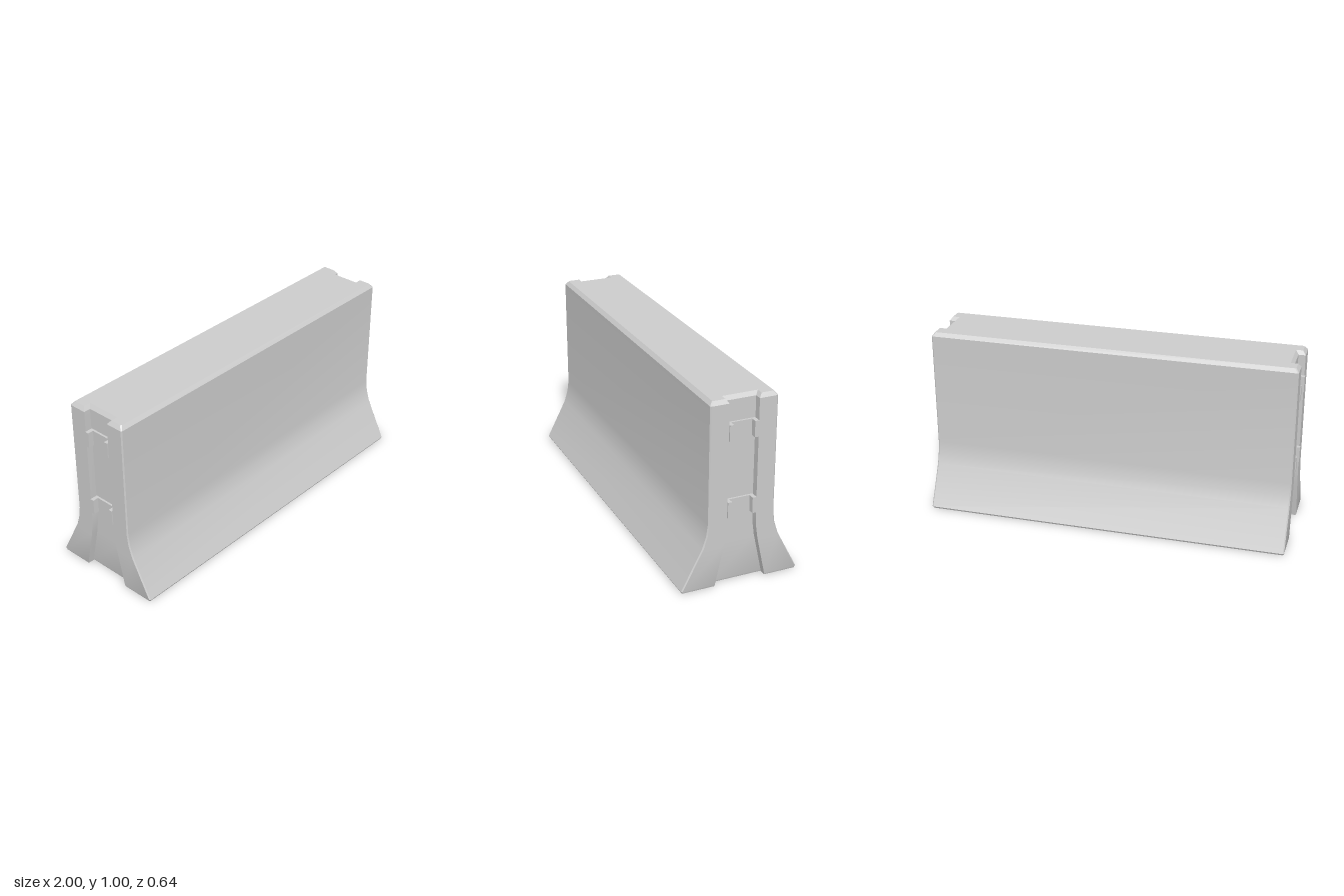
import * as THREE from 'three';
import { toCreasedNormals } from 'three/addons/utils/BufferGeometryUtils.js';

const END = 0.995;    // end faces
const NOTCH = 0.957;  // back wall of the end notches
const BEVEL = 0.006;  // vertical corner bevel

// [height, half thickness, half notch width, inset of the end faces]
const levels = [
  [0, 0.315, 0.14, 0.004],
  [0.01, 0.32, 0.138, 0],
  [0.225, 0.209, 0.092, 0],
  [0.29, 0.188, 0.083, 0],
  [0.355, 0.179, 0.079, 0],
  [0.98, 0.179, 0.079, 0],
  [1, 0.162, 0.095, 0.016],
];

// Plan outline at one level, counterclockwise seen from above
function outline([, w, n, inset]) {
  const e = END - inset, d = NOTCH - inset, b = BEVEL;
  const half = [
    [e - b, -w], [e, b - w], [e, -n], [d, -n],
    [d, n], [e, n], [e, w - b], [e - b, w],
  ];
  return [...half, ...half.map(([x, v]) => [-x, -v])]
    .map(([x, v]) => new THREE.Vector2(x, v));
}

// Barrier body: outlines joined from the foot to the chamfered top
function bodyGeometry() {
  const rings = levels.map(outline);
  const count = rings[0].length;
  const positions = [], index = [];
  rings.forEach((ring, i) => ring.forEach(p => positions.push(p.x, levels[i][0], -p.y)));
  for (let i = 0; i < rings.length - 1; i++) {
    for (let k = 0; k < count; k++) {
      const a = i * count + k, b = i * count + (k + 1) % count;
      index.push(a, b, b + count, a, b + count, a + count);
    }
  }
  // Closed underside and top
  const last = rings.length - 1;
  for (const [a, b, c] of THREE.ShapeUtils.triangulateShape(rings[0], [])) index.push(a, c, b);
  for (const t of THREE.ShapeUtils.triangulateShape(rings[last], [])) {
    index.push(...t.map(v => v + last * count));
  }
  const geometry = new THREE.BufferGeometry();
  geometry.setAttribute('position', new THREE.Float32BufferAttribute(positions, 3));
  geometry.setIndex(index);
  return toCreasedNormals(geometry, 0.4);
}

// C-shaped connector bracket, open towards the end of the barrier
function bracketGeometry(height) {
  const back = 0.95, web = 0.968, tip = 1, outer = 0.077, inner = 0.056;
  const shape = new THREE.Shape([
    [back, -outer], [tip, -outer], [tip, -inner], [web, -inner],
    [web, inner], [tip, inner], [tip, outer], [back, outer],
  ].map(p => new THREE.Vector2(...p)));
  const geometry = new THREE.ExtrudeGeometry(shape, { depth: height, bevelEnabled: false });
  return geometry.rotateX(-Math.PI / 2);
}

export function createModel() {
  const group = new THREE.Group();
  group.name = 'roadBarrier';
  const material = new THREE.MeshStandardMaterial({ color: 0xcccccc });

  const body = new THREE.Mesh(bodyGeometry(), material);
  body.name = 'barrierBody';
  group.add(body);

  // Two brackets in each end notch
  const bracket = bracketGeometry(0.085);
  for (const [side, turn] of [['left', 0], ['right', Math.PI]]) {
    for (const [level, y] of [['Lower', 0.373], ['Upper', 0.783]]) {
      const mesh = new THREE.Mesh(bracket, material);
      mesh.name = `${side}${level}Bracket`;
      mesh.position.y = y;
      mesh.rotation.y = turn;
      group.add(mesh);
    }
  }
  return group;
}
